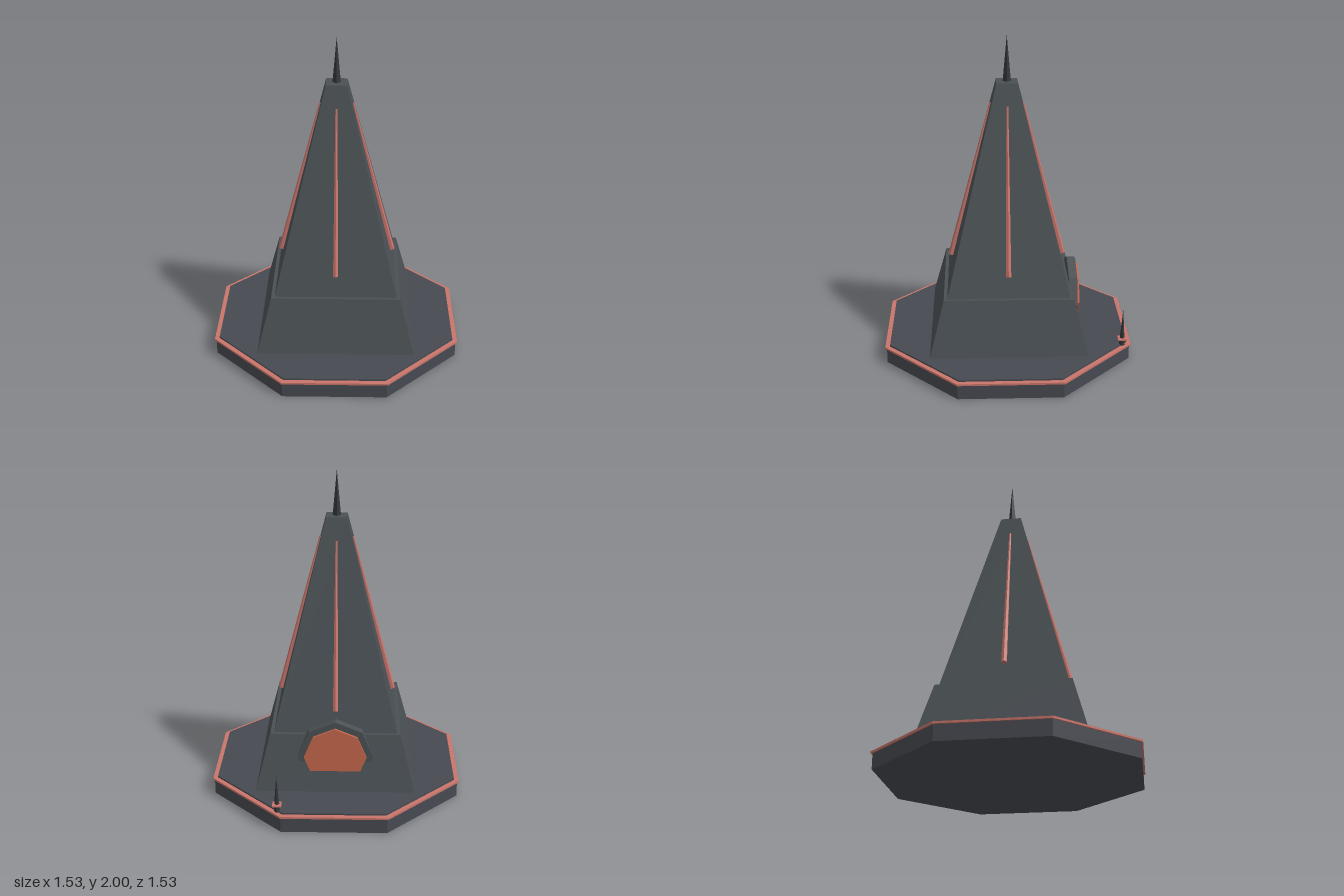
import * as THREE from 'three';

const mat = (name, color) => {
  const m = new THREE.MeshStandardMaterial({ color, flatShading: true });
  m.name = name;
  return m;
};

export function createModel() {
  const model = new THREE.Group();
  model.name = 'obeliskTower';
  const stone = mat('slate stone', 0x4a5054);
  const paving = mat('platform grey', 0x464950);
  const dark = mat('dark metal', 0x33373a);
  const glow = mat('coral trim', 0xc8746a);
  const doorMat = mat('orange door', 0xc4674c);

  const add = (name, geometry, material, parent = model) => {
    const mesh = new THREE.Mesh(geometry, material);
    mesh.name = name;
    parent.add(mesh);
    return mesh;
  };

  // Upright regular prism or frustum with flat sides facing the axes; sizes are apothems
  const prism = (sides, bottom, top, y0, y1) => {
    const k = 1 / Math.cos(Math.PI / sides);
    return new THREE.CylinderGeometry(top * k, bottom * k, y1 - y0, sides)
      .rotateY(Math.PI / sides)
      .translate(0, (y0 + y1) / 2, 0);
  };

  // Four-sided spike with corners on the axes
  const spike = (radius, y0, y1) =>
    new THREE.ConeGeometry(radius, y1 - y0, 4).translate(0, (y0 + y1) / 2, 0);

  // Octagonal platform
  add('platformBase', prism(8, 0.757, 0.757, 0, 0.096), paving);
  add('platformTrim', prism(8, 0.767, 0.767, 0.094, 0.106), glow);
  add('platformTop', prism(8, 0.738, 0.738, 0.1, 0.116), paving);

  // Tapered tower
  add('towerPlinth', prism(4, 0.484, 0.395, 0.115, 0.46), stone);
  add('towerShaft', prism(4, 0.375, 0.064, 0.455, 1.722), stone);
  add('towerSpire', spike(0.025, 1.72, 2), dark);

  // Tapered light strip up the middle of each side
  const low = new THREE.Vector3(0, 0.595, 0.352);
  const high = new THREE.Vector3(0, 1.59, 0.098);
  const along = high.clone().sub(low);
  const tilt = new THREE.Quaternion().setFromUnitVectors(
    new THREE.Vector3(0, 1, 0), along.clone().normalize());
  for (let i = 0; i < 4; i++) {
    const geometry = new THREE.CylinderGeometry(0.007, 0.018, along.length(), 6)
      .applyQuaternion(tilt)
      .translate(0, (low.y + high.y) / 2, (low.z + high.z) / 2)
      .rotateY(i * Math.PI / 2);
    add('lightStrip', geometry, glow);
  }

  // Eight-sided portal sunk into the back of the plinth, corner pointing up
  const portal = new THREE.Group();
  portal.name = 'portal';
  model.add(portal);
  const disc = (radius, z0, z1) =>
    new THREE.CylinderGeometry(radius, radius, z1 - z0, 8)
      .rotateX(Math.PI / 2)
      .translate(0, 0.33, (z0 + z1) / 2);
  add('portalFrame', disc(0.23, -0.437, -0.384), stone, portal);
  add('portalDoor', disc(0.19, -0.452, -0.43), doorMat, portal);

  // Small beacon on the back corner of the platform
  const beacon = new THREE.Group();
  beacon.name = 'beacon';
  beacon.position.set(0.337, 0, -0.708);
  model.add(beacon);
  add('beaconSpike', spike(0.019, 0.11, 0.35), dark, beacon);
  add('beaconCollar', new THREE.BoxGeometry(0.054, 0.008, 0.054).translate(0, 0.155, 0), glow, beacon);

  return model;
}
